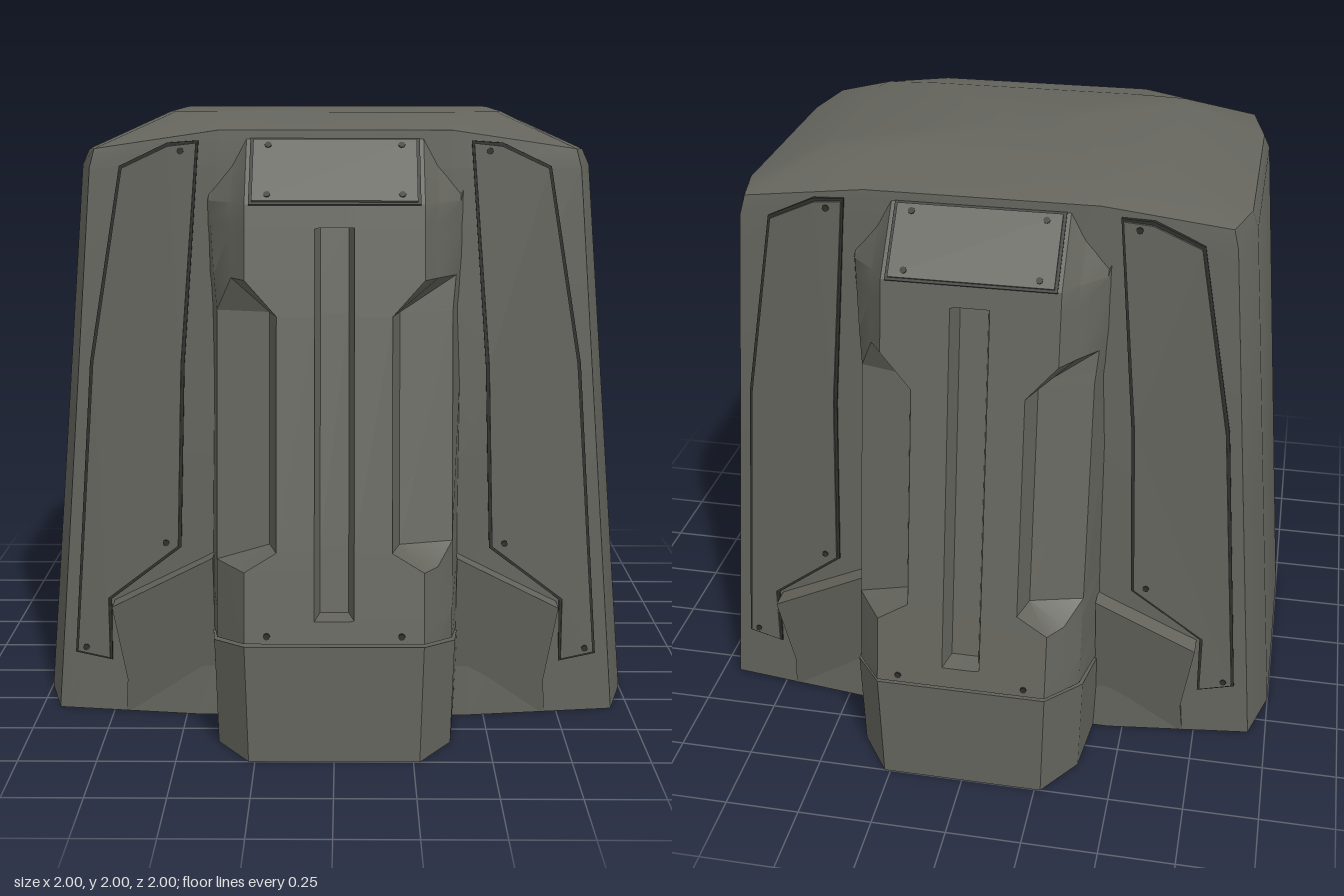
import * as THREE from 'three';
import { toCreasedNormals } from 'three/addons/utils/BufferGeometryUtils.js';

const armour = new THREE.MeshStandardMaterial({ color: 0x65655e });
armour.name = 'grey armour';
const dark = new THREE.MeshStandardMaterial({ color: 0x30302d });
dark.name = 'dark seam';

const lerp = THREE.MathUtils.lerp;

// Closed loft through rings of [x, y, z], listed front, right, back, left
function loft(rings, crease) {
  const n = rings[0].length, pos = rings.flat(2), index = [];
  for (let r = 0; r + 1 < rings.length; r++) {
    for (let i = 0; i < n; i++) {
      const j = (i + 1) % n, a = r * n, b = a + n;
      index.push(a + i, a + j, b + j, a + i, b + j, b + i);
    }
  }
  [rings[0], rings[rings.length - 1]].forEach((ring, top) => {
    const centre = pos.length / 3, base = top ? (rings.length - 1) * n : 0;
    for (let k = 0; k < 3; k++) pos.push(ring.reduce((s, p) => s + p[k], 0) / n);
    for (let i = 0; i < n; i++) {
      const a = base + i, b = base + (i + 1) % n;
      index.push(centre, top ? a : b, top ? b : a);
    }
  });
  const geo = new THREE.BufferGeometry();
  geo.setAttribute('position', new THREE.Float32BufferAttribute(pos, 3));
  geo.setIndex(index);
  return toCreasedNormals(geo, crease);
}

// Mirror a half ring across x
const mirrorX = half => [...half, ...half.map(([x, y, z]) => [-x, y, z]).reverse()];
// Mirror a quarter ring across z, then x
const mirrorXZ = q => mirrorX([...q, ...q.map(([x, y, z]) => [x, y, -z]).reverse()]);

function add(parent, name, geo, mat = armour) {
  const mesh = new THREE.Mesh(geo, mat);
  mesh.name = name;
  parent.add(mesh);
  return mesh;
}

// Width and front surface of the tapering body wall
const width = y => 1 - 0.09 * y;
const innerZ = y => lerp(0.635, 0.59, y / 1.95);
const outerZ = y => lerp(0.575, 0.56, y / 1.95);
const wallZ = (x, y) => lerp(innerZ(y), outerZ(y), (x / width(y) - 0.45) / 0.49);

function bodyGeometry() {
  const wall = y => {
    const w = width(y);
    return [[0.45 * w, y, innerZ(y)], [0.94 * w, y, outerZ(y)], [w, y, 0.38]];
  };
  const rim = [[0.37, 1.95, 0.585], [0.77, 1.89, 0.55], [0.815, 1.88, 0.36]];
  const roof = [[0.36, 2, 0.36], [0.53, 2, 0.345], [0.55, 2, 0.28]];
  return loft([wall(0), wall(0.9), wall(1.83), rim, roof].map(mirrorXZ), 0.65);
}

// Half section of the spine: centre slot, front edge, side pocket, flank
const spineZ = y => (y < 1.73 ? 1 - (y - 0.39) * 0.1866 : 0.75 - (y - 1.73) * 0.85);
function spineSection(y, pocket, slot, flankX = 0.42) {
  const z = spineZ(y);
  return mirrorX([
    [0.045, y, z - slot], [0.062, y, z],
    [lerp(0.28, 0.18, pocket), y, z],
    [lerp(0.325, 0.205, pocket), y, z - lerp(0.065, 0.095, pocket)],
    [flankX - 0.045, y, z - 0.14], [flankX, y, 0.5],
  ]);
}
function spineGeometry() {
  const d = 0.075;
  const rings = [
    spineSection(0.392, 0, 0), spineSection(0.46, 0, 0), spineSection(0.464, 0, d),
    spineSection(0.61, 0, d), spineSection(0.67, 1, d), spineSection(1.39, 1, d),
    spineSection(1.5, 0, d, 0.43), spineSection(1.656, 0, d, 0.44),
    spineSection(1.66, 0, 0, 0.44), spineSection(1.73, 0, 0, 0.445),
    spineSection(1.93, 0, 0, 0.45),
  ];
  // The lower edge drops towards the body
  rings[0] = rings[0].map(([x, y, z]) => [x, y - (1 - z) * 0.21, z]);
  return loft(rings, 0.45);
}

function footGeometry() {
  const plan = [[0.28, 1], [0.385, 0.85], [0.42, 0.5]];
  const low = plan.map(([x, z]) => [x - 0.01, 0, z]);
  const high = plan.map(([x, z]) => [x, 0.382 - (1 - z) * 0.21, z]);
  return loft([low, high].map(mirrorX), 0.3);
}

// Extruded outline whose front follows surface(x, y); s = -1 mirrors it
function plate(points, s, depth, surface) {
  const shape = new THREE.Shape(points.map(([x, y]) => new THREE.Vector2(s * x, y)));
  const geo = new THREE.ExtrudeGeometry(shape, { depth, bevelEnabled: false });
  const p = geo.attributes.position;
  for (let i = 0; i < p.count; i++) {
    p.setZ(i, p.getZ(i) - depth + surface(Math.abs(p.getX(i)), p.getY(i)));
  }
  geo.computeVertexNormals();
  return geo;
}

const panelOutline = [
  [0.44, 1.91], [0.53, 1.9], [0.68, 1.83], [0.79, 1.2], [0.87, 0.21],
  [0.76, 0.19], [0.76, 0.4], [0.52, 0.59], [0.5, 1.2],
];
// Grow an outline outward by d along its corner bisectors
function grow(points, d) {
  const v = points.map(p => new THREE.Vector2(...p)), n = v.length;
  return v.map((p, i) => {
    const a = p.clone().sub(v[(i + n - 1) % n]).normalize();
    const b = v[(i + 1) % n].clone().sub(p).normalize();
    const out = new THREE.Vector2(-a.y - b.y, a.x + b.x).normalize();
    return [p.x + out.x * d, p.y + out.y * d];
  });
}
const wingOutline = [[0.4, 0.57], [0.74, 0.39], [0.7, 0.12], [0.71, 0], [0.4, 0]];

function screw(parent, x, y, z, tilt = 0) {
  const geo = new THREE.CylinderGeometry(0.011, 0.011, 0.008, 8).rotateX(Math.PI / 2 - tilt);
  add(parent, 'screw', geo, dark).position.set(x, y, z);
}

// Everything mounted on one broad face
function faceAssembly(name) {
  const g = new THREE.Group();
  g.name = name;
  add(g, 'spine', spineGeometry());
  add(g, 'footBlock', footGeometry());

  for (const s of [1, -1]) {
    add(g, 'panelSeam', plate(grow(panelOutline, 0.011), s, 0.03, (x, y) => wallZ(x, y) + 0.006), dark);
    add(g, 'sidePanel', plate(panelOutline, s, 0.03, (x, y) => wallZ(x, y) + 0.014));
    add(g, 'footWing', plate(wingOutline, s, 0.2, (x, y) => 0.605 + 0.15 * y));
    for (const [x, y] of [[0.49, 1.885], [0.56, 0.6], [0.84, 0.225]]) {
      screw(g, s * x, y, wallZ(x, y) + 0.014);
    }
    screw(g, s * 0.21, 0.415, spineZ(0.415));
  }

  // Sloping cover plate at the top of the spine
  const tilt = Math.atan2(0.17, 0.2);
  const cover = new THREE.Group();
  cover.name = 'coverPlate';
  cover.position.set(0, 1.825, spineZ(1.825));
  cover.rotation.x = -tilt;
  add(cover, 'coverSeam', new THREE.BoxGeometry(0.535, 0.255, 0.008), dark);
  add(cover, 'cover', new THREE.BoxGeometry(0.515, 0.237, 0.024));
  for (const x of [-0.21, 0.21]) for (const y of [-0.095, 0.095]) screw(cover, x, y, 0.011);
  g.add(cover);
  return g;
}

export function createModel() {
  const model = new THREE.Group();
  model.name = 'armouredHousing';
  add(model, 'body', bodyGeometry());
  model.add(faceAssembly('frontFace'));
  const back = faceAssembly('backFace');
  back.rotation.y = Math.PI;
  model.add(back);
  return model;
}
